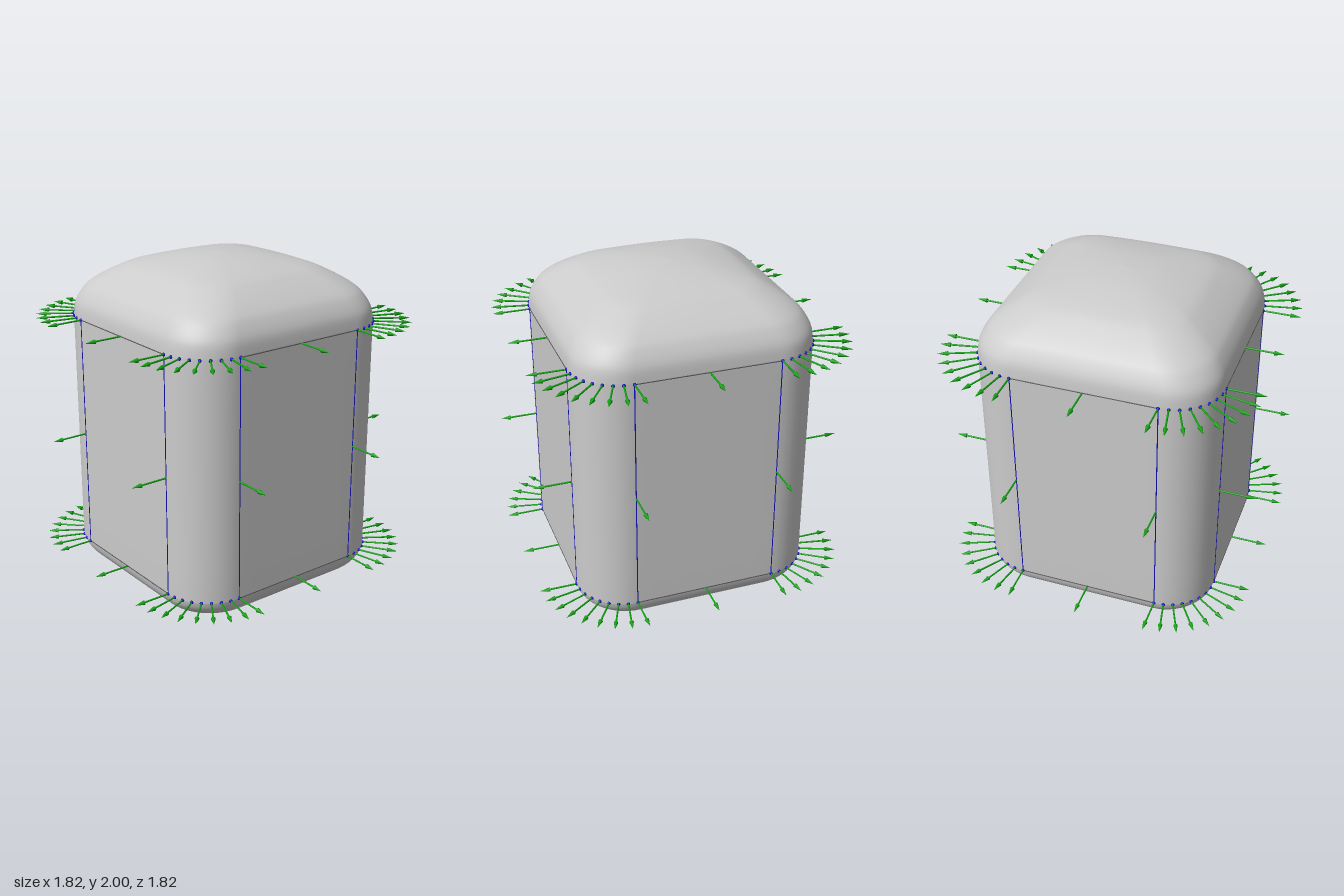
import * as THREE from 'three';

const HALF = 0.69, FLAT = 0.41, RADIUS = HALF - FLAT;
const LOW = 0.23, HIGH = 1.62, MID = 0.93;

const grey = new THREE.MeshStandardMaterial({ color: 0xcccccc });
const green = new THREE.MeshStandardMaterial({ color: 0x12a012 });
const blue = new THREE.MeshStandardMaterial({ color: 0x1010c0 });
const dark = new THREE.MeshStandardMaterial({ color: 0x555555 });

// Outline of the rounded square, counted from +x towards +z
function outline() {
  const pts = [];
  for (let q = 0; q < 4; q++) {
    const turn = q * Math.PI / 2, centre = new THREE.Vector2();
    const add = (x, z) => pts.push(new THREE.Vector2(x, z).rotateAround(centre, turn));
    for (let i = 1; i < 8; i++) add(HALF, -FLAT + 2 * FLAT * i / 8);
    for (let i = 0; i <= 12; i++) {
      const a = i / 12 * Math.PI / 2;
      add(FLAT + RADIUS * Math.cos(a), FLAT + RADIUS * Math.sin(a));
    }
  }
  return pts;
}

// Closed body: the outline is scaled along a profile and turns round near the axis
function makeBody() {
  const spline = (list, n) =>
    new THREE.SplineCurve(list.map(([r, y]) => new THREE.Vector2(r, y))).getPoints(n);
  const bottom = spline([[0, 0.225], [0.15, 0.225], [0.25, 0.215], [0.33, 0.15], [0.4, 0.09],
    [0.46, 0.076], [0.55, 0.088], [0.635, 0.13], [0.675, 0.18], [HALF, LOW]], 40);
  const sides = [0.4, 0.65, MID, 1.2, 1.45].map(y => new THREE.Vector2(HALF, y));
  const dome = spline([[HALF, HIGH], [0.68, 1.7], [0.645, 1.77], [0.6, 1.82], [0.5, 1.89],
    [0.4, 1.94], [0.2, 1.985], [0, 2]], 32);
  const rows = [...bottom, ...sides, ...dome];
  const ring = outline(), n = ring.length, pos = [], index = [];
  rows.forEach(({ x: r, y }, j) => {
    const limit = y < MID ? 0.25 : 0;
    const round = 1 - THREE.MathUtils.smoothstep(r, limit, 0.6);
    for (const p of ring) {
      const k = THREE.MathUtils.lerp(1, HALF / p.length(), round) * Math.max(r, 0) / HALF;
      pos.push(p.x * k, y, p.y * k);
    }
    if (j === 0) return;
    for (let i = 0; i < n; i++) {
      const a = (j - 1) * n + i, b = (j - 1) * n + (i + 1) % n;
      index.push(a, a + n, b, b, a + n, b + n);
    }
  });
  const g = new THREE.BufferGeometry();
  g.setAttribute('position', new THREE.Float32BufferAttribute(pos, 3));
  g.setIndex(index);
  g.computeVertexNormals();
  const body = new THREE.Mesh(g, grey);
  body.name = 'body';
  return body;
}

const shaftGeometry = new THREE.CylinderGeometry(0.005, 0.005, 0.17, 8).translate(0, 0.085, 0);
const headGeometry = new THREE.ConeGeometry(0.013, 0.06, 8).translate(0, 0.19, 0);
const dotGeometry = new THREE.SphereGeometry(0.01, 10, 8);
const UP = new THREE.Vector3(0, 1, 0);

function makeArrow(base, direction) {
  const arrow = new THREE.Group();
  arrow.name = 'normalArrow';
  for (const [name, geometry] of [['arrowShaft', shaftGeometry], ['arrowHead', headGeometry]]) {
    const mesh = new THREE.Mesh(geometry, green);
    mesh.name = name;
    arrow.add(mesh);
  }
  arrow.position.copy(base);
  arrow.quaternion.setFromUnitVectors(UP, direction);
  return arrow;
}

function makeDot(p) {
  const dot = new THREE.Mesh(dotGeometry, blue);
  dot.name = 'edgeDot';
  dot.position.copy(p);
  return dot;
}

function makeSeam(a, b, material) {
  const g = new THREE.CylinderGeometry(0.003, 0.003, a.distanceTo(b), 6);
  const seam = new THREE.Mesh(g, material);
  seam.name = 'seam';
  seam.position.copy(a).lerp(b, 0.5);
  seam.quaternion.setFromUnitVectors(UP, b.clone().sub(a).normalize());
  return seam;
}

export function createModel() {
  const model = new THREE.Group();
  model.name = 'roundedBlock';
  model.add(makeBody());
  const V = (x, y, z) => new THREE.Vector3(x, y, z);

  // One quarter of the markers: a face and its neighbouring corner
  for (let q = 0; q < 4; q++) {
    const quarter = new THREE.Group();
    quarter.name = 'sideMarkers';
    quarter.rotation.y = q * Math.PI / 2;
    for (const y of [LOW, HIGH]) {
      quarter.add(makeArrow(V(HALF, y, 0), V(1, 0, 0)));
      quarter.add(makeSeam(V(HALF, y, -FLAT), V(HALF, y, FLAT), dark));
      for (let i = 0; i <= 8; i++) {
        const a = i / 8 * Math.PI / 2;
        const out = V(Math.cos(a), 0, Math.sin(a));
        const base = V(FLAT, y, FLAT).addScaledVector(out, RADIUS);
        quarter.add(makeArrow(base, out), makeDot(base));
      }
    }
    // Upright seams
    for (const z of [-FLAT, FLAT]) {
      quarter.add(makeArrow(V(HALF, MID, z), V(1, 0, 0)));
      quarter.add(makeSeam(V(HALF, LOW, z), V(HALF, HIGH, z), blue));
    }
    model.add(quarter);
  }

  // Ring of arrows in the hollow underneath
  const ring = new THREE.Group();
  ring.name = 'bottomMarkers';
  for (let i = 0; i < 24; i++) {
    const a = (i + 0.5) / 24 * Math.PI * 2;
    ring.add(makeArrow(V(0.25 * Math.cos(a), 0.22, 0.25 * Math.sin(a)), V(0, -1, 0)));
  }
  model.add(ring);
  return model;
}
